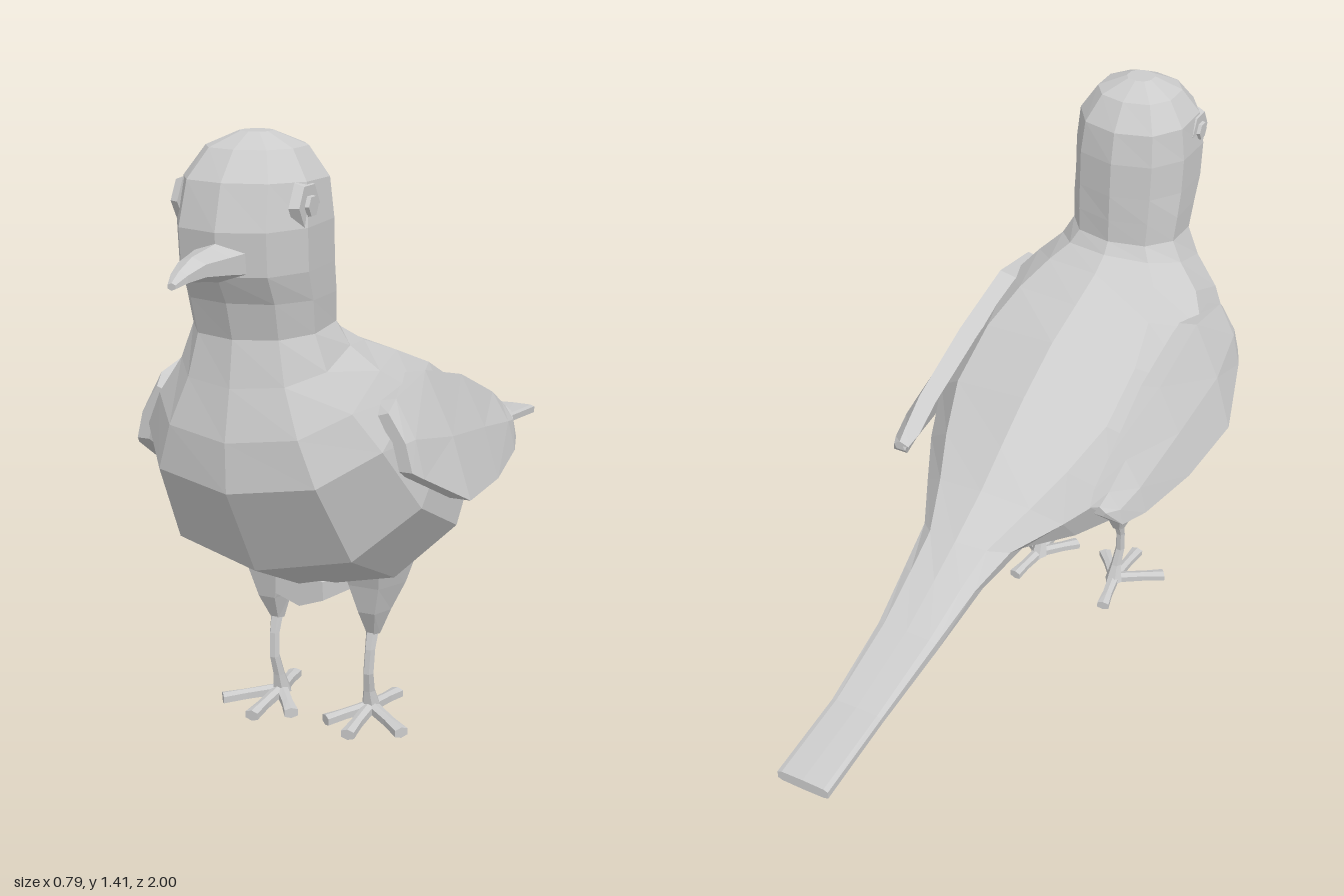
import * as THREE from 'three';

const V = (x, y, z) => new THREE.Vector3(x, y, z);
const material = new THREE.MeshStandardMaterial({ color: 0xcccccc, flatShading: true });

// Skin a list of equal-sized rings, closing both ends.
function loft(name, rings) {
  const n = rings[0].length, pos = [], index = [];
  rings.forEach(r => r.forEach(p => pos.push(p.x, p.y, p.z)));
  for (let k = 0; k < rings.length - 1; k++)
    for (let i = 0; i < n; i++) {
      const j = (i + 1) % n, a = k * n + i, b = k * n + j;
      index.push(a, b, a + n, b, b + n, a + n);
    }
  [0, rings.length - 1].forEach((k, end) => {
    const c = rings[k].reduce((s, p) => s.add(p), V(0, 0, 0)).divideScalar(n);
    const centre = pos.length / 3;
    pos.push(c.x, c.y, c.z);
    for (let i = 0; i < n; i++) {
      const a = k * n + i, b = k * n + (i + 1) % n;
      index.push(centre, end ? a : b, end ? b : a);
    }
  });
  const g = new THREE.BufferGeometry();
  g.setAttribute('position', new THREE.Float32BufferAttribute(pos, 3));
  g.setIndex(index);
  const flat = g.toNonIndexed();
  flat.computeVertexNormals();
  const mesh = new THREE.Mesh(flat, material);
  mesh.name = name;
  return mesh;
}

// Ring around centre c with half axes u and s; a power below 1 squares it off.
function oval(c, u, s, n, power = 1) {
  const f = v => Math.sign(v) * Math.abs(v) ** power;
  return Array.from({ length: n }, (_, i) => {
    const t = i / n * Math.PI * 2;
    return c.clone().addScaledVector(u, f(Math.cos(t))).addScaledVector(s, f(Math.sin(t)));
  });
}

// Ring through a back point and a front point of the side profile.
function profileRing([bz, by, fz, fy, w, power = 0.88], n) {
  const c = V(0, (by + fy) / 2, (bz + fz) / 2);
  return oval(c, V(0, by, bz).sub(c), V(w, 0, 0), n, power);
}

function makeWing() {
  // z, top x, top y, bottom x, bottom y, thickness
  const sections = [
    [0.61, 0.28, 0.835, 0.335, 0.71, 0.03],
    [0.58, 0.285, 0.86, 0.35, 0.69, 0.045],
    [0.42, 0.285, 0.885, 0.395, 0.60, 0.05],
    [0.2, 0.285, 0.825, 0.38, 0.585, 0.05],
    [0.0, 0.29, 0.735, 0.35, 0.595, 0.045],
    [-0.08, 0.285, 0.69, 0.325, 0.605, 0.04],
    [-0.12, 0.28, 0.67, 0.29, 0.645, 0.025],
  ];
  return loft('wing', sections.map(([z, tx, ty, bx, by, t]) => {
    const mx = (tx + bx) / 2 + 0.012, my = (ty + by) / 2;
    return [V(tx, ty, z), V(mx, my, z), V(bx, by, z),
      V(bx - t, by, z), V(mx - t, my, z), V(tx - t, ty - 0.01, z)];
  }));
}

function makeLeg() {
  const leg = new THREE.Group();
  const down = (name, list, n) => loft(name, list.map(([x, y, z, rx, rz]) =>
    oval(V(x, y, z), V(rx, 0, 0), V(0, 0, rz), n)));
  leg.add(down('thigh', [
    [0.13, 0.45, 0.33, 0.11, 0.13], [0.13, 0.35, 0.335, 0.075, 0.085],
    [0.13, 0.28, 0.345, 0.042, 0.055], [0.126, 0.215, 0.345, 0.018, 0.018]], 6));
  leg.add(down('shin', [
    [0.126, 0.24, 0.342, 0.017, 0.017], [0.126, 0.18, 0.362, 0.013, 0.014],
    [0.124, 0.12, 0.368, 0.013, 0.014], [0.12, 0.07, 0.355, 0.015, 0.016],
    [0.12, 0.02, 0.34, 0.025, 0.025]], 6));
  // three toes forward and one back
  const root = V(0.12, 0.025, 0.345);
  [[0.235, 0.43], [0.125, 0.49], [0.045, 0.44], [0.14, 0.23]].forEach(([x, z]) => {
    const tip = V(x, 0.018, z), d = tip.clone().sub(root).setY(0).normalize();
    const s = d.clone().cross(V(0, 1, 0));
    leg.add(loft('toe', [[0, 0.014, 0.016], [0.6, 0.013, 0.014], [1, 0.013, 0.018]].map(([t, h, w]) =>
      oval(root.clone().lerp(tip, t).setY(0.025 - 0.01 * t), V(0, h, 0), s.clone().multiplyScalar(w), 6, 0.7))));
  });
  return leg;
}

function makeEye() {
  const eye = new THREE.Group();
  [[0.056, 0.02, 0.137], [0.026, 0.02, 0.146]].forEach(([r, h, x], i) => {
    const g = new THREE.CylinderGeometry(r * 0.85, r, h, 6).rotateZ(-Math.PI / 2);
    const m = new THREE.Mesh(g, material);
    m.name = i ? 'pupil' : 'eyelid';
    m.position.set(x, 1.275, 0.70);
    eye.add(m);
  });
  return eye;
}

export function createModel() {
  const bird = new THREE.Group();
  bird.name = 'bird';

  // Head, neck, trunk and tail: back z, back y, front z, front y, half width, squareness
  bird.add(loft('body', [
    [0.61, 1.415, 0.68, 1.415, 0.035],
    [0.54, 1.385, 0.745, 1.385, 0.105],
    [0.495, 1.32, 0.80, 1.325, 0.148],
    [0.482, 1.24, 0.83, 1.23, 0.158],
    [0.48, 1.15, 0.825, 1.14, 0.157],
    [0.48, 1.08, 0.79, 1.08, 0.155],
    [0.48, 1.02, 0.768, 1.0, 0.15],
    [0.46, 0.99, 0.785, 0.9, 0.18],
    [0.41, 0.96, 0.81, 0.79, 0.24],
    [0.3, 0.925, 0.81, 0.68, 0.295],
    [0.17, 0.885, 0.69, 0.47, 0.335],
    [0.02, 0.81, 0.45, 0.35, 0.335],
    [-0.1, 0.735, 0.2, 0.37, 0.27],
    [-0.2, 0.67, 0.0, 0.43, 0.2],
    [-0.33, 0.605, -0.15, 0.515, 0.125],
    [-0.43, 0.56, -0.34, 0.515, 0.1, 0.7],
    [-0.56, 0.505, -0.55, 0.462, 0.08, 0.5],
    [-0.78, 0.452, -0.78, 0.425, 0.067, 0.4],
    [-1, 0.427, -1, 0.398, 0.067, 0.4],
  ].map(r => profileRing(r, 10))));

  // Beak: z, top y, bottom y, half width
  bird.add(loft('beak', [
    [0.78, 1.215, 1.12, 0.075], [0.85, 1.205, 1.135, 0.055],
    [0.92, 1.197, 1.147, 0.036], [0.97, 1.178, 1.148, 0.022], [1, 1.16, 1.145, 0.01],
  ].map(([z, t, b, w]) => oval(V(0, (t + b) / 2, z), V(0, (t - b) / 2, 0), V(-w, 0, 0), 6))));

  // Feathers under the belly
  bird.add(loft('bellyTuft', [[0.48, 0.07], [0.36, 0.11], [0.23, 0.07]].map(([z, w]) =>
    oval(V(0, 0.355, z), V(0, 0.045, 0), V(w, 0, 0), 6))));

  // Paired parts
  [['left', 1], ['right', -1]].forEach(([side, sign]) => {
    [['Wing', makeWing()], ['Leg', makeLeg()], ['Eye', makeEye()]].forEach(([part, o]) => {
      o.name = side + part;
      o.scale.x = sign;
      bird.add(o);
    });
  });
  return bird;
}
